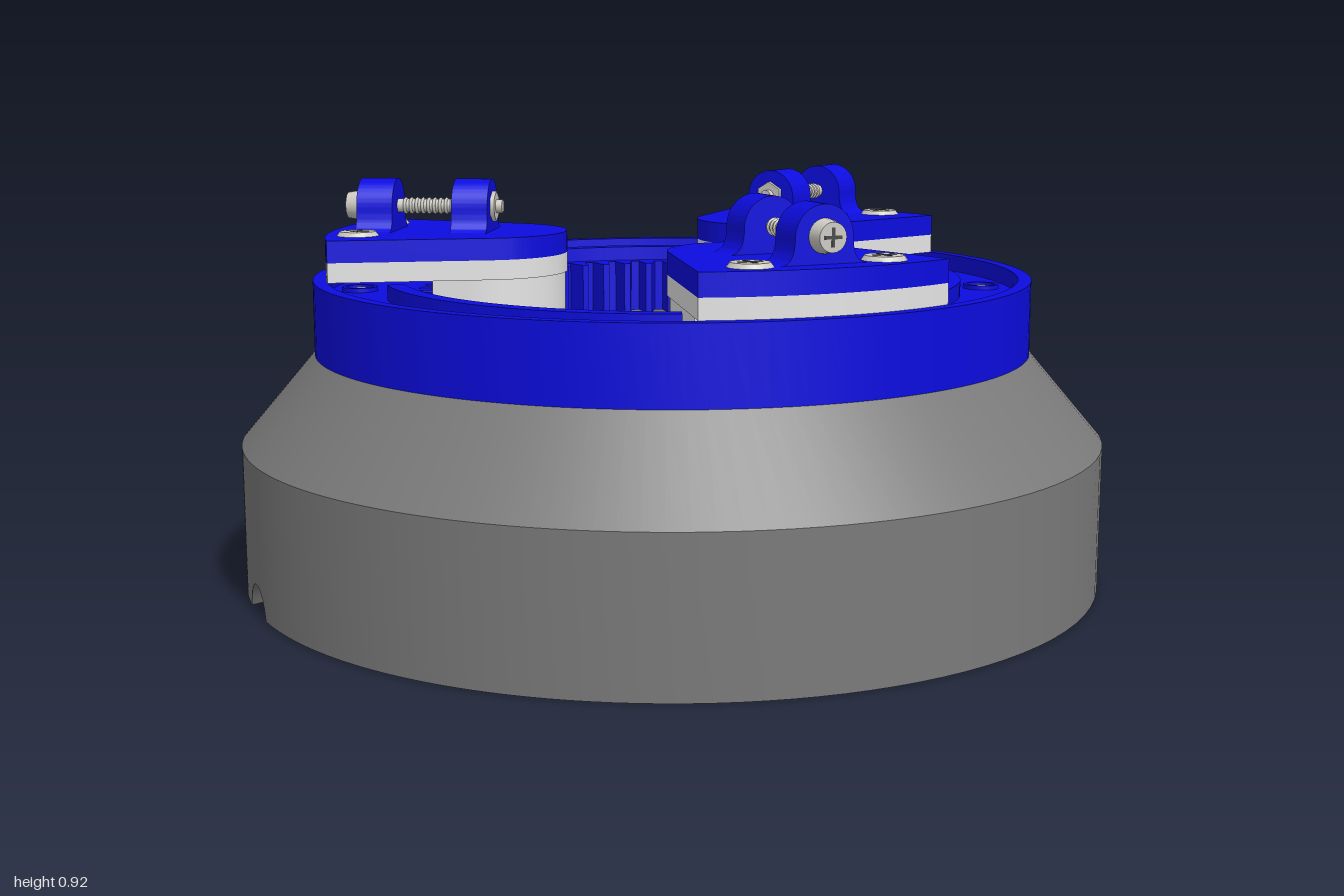
import * as THREE from 'three';
import { toCreasedNormals } from 'three/addons/utils/BufferGeometryUtils.js';

const mat = (name, color) => Object.assign(new THREE.MeshStandardMaterial({ color }), { name });
const M = {
  grey: mat('base grey', 0x7a7a7a),
  blue: mat('deep blue', 0x0c0ce0),
  white: mat('housing white', 0xe4e4e4),
  silver: mat('screw silver', 0xcdcbc3),
  dark: mat('dark recess', 0x4a4a4a),
  red: mat('wire red', 0xc81414),
  black: mat('wire black', 0x181818),
  green: mat('wire green', 0x128a22),
  yellow: mat('wire yellow', 0xb8a818),
  cream: mat('connector cream', 0xe6dcc0),
};

function add(parent, name, geo, material, x = 0, y = 0, z = 0) {
  const m = new THREE.Mesh(geo, material);
  m.name = name;
  m.position.set(x, y, z);
  parent.add(m);
  return m;
}

// closed ring section turned round the y axis; points run counter-clockwise in (radius, y)
function turned(pts, seg = 128, start = 0, length = Math.PI * 2) {
  const v = pts.map(p => new THREE.Vector2(p[0], p[1]));
  v.push(v[0].clone());
  return toCreasedNormals(new THREE.LatheGeometry(v, seg, start, length), 0.4);
}

// plan outline (x, z) extruded downwards from y = 0
function slab(shape, depth, crease = 0.4) {
  const g = new THREE.ExtrudeGeometry(shape, { depth, bevelEnabled: false, curveSegments: 28 });
  return toCreasedNormals(g.rotateX(Math.PI / 2), crease);
}

// heavy chamfered base with a cable notch under its -x side
function baseGeometry() {
  const pts = [[0.66, 0], [0.78, 0], [0.785, 0], [0.9, 0], [1, 0], [1, 0.335], [0.83, 0.535], [0.66, 0.535], [0.66, 0]]
    .map(p => new THREE.Vector2(p[0], p[1]));
  const seg = 160, g = new THREE.LatheGeometry(pts, seg), pos = g.attributes.position;
  for (let i = 0; i < pos.count; i++) {
    const p = pts[i % pts.length], s = Math.floor(i / pts.length) / seg * 2 - 1;
    const a = Math.PI * 1.5 + Math.PI * s * Math.abs(s);   // finer steps near the notch
    const z = p.x * Math.cos(a), r = p.x < 0.782 ? 0.088 : 0.065;
    const inNotch = p.y === 0 && Math.sin(a) < 0 && Math.abs(z) < r;
    pos.setXYZ(i, p.x * Math.sin(a), inNotch ? Math.sqrt(r * r - z * z) : p.y, z);
  }
  return toCreasedNormals(g, 0.4);
}

// internal gear: round outside, toothed hole
function gearShape(teeth = 60, root = 0.597, tip = 0.542) {
  const s = new THREE.Shape().absarc(0, 0, 0.64, 0, Math.PI * 2, false);
  const hole = [], step = Math.PI * 2 / teeth;
  for (let i = 0; i < teeth; i++) {
    for (const [f, r] of [[-0.34, root], [-0.14, tip], [0.14, tip], [0.34, root]]) {
      const a = (i + f) * step;
      hole.push(new THREE.Vector2(r * Math.cos(a), r * Math.sin(a)));
    }
  }
  s.holes.push(new THREE.Path(hole.reverse()));
  return s;
}

// arm outline: round nose towards the centre, flaring to the ring's rim
function armShape() {
  const c = Math.atan2(0.748, 0.285), t = 0.27;
  return new THREE.Shape()
    .absarc(0, 0, 0.8, c, Math.PI - c, false)
    .absarc(0, 0.445, 0.195, Math.PI + t, Math.PI * 2 - t, false);
}

function housingShape() {
  const s = new THREE.Shape();
  s.absarc(0, 0.445, 0.19, Math.PI, Math.PI * 2, false);
  s.lineTo(0.19, 0.53);
  s.lineTo(-0.19, 0.53);
  return s;
}

function lugGeometry() {
  const s = new THREE.Shape();
  s.moveTo(-0.1, 0);
  s.quadraticCurveTo(-0.066, 0, -0.066, 0.055);
  s.absarc(0, 0.055, 0.066, Math.PI, 0, true);
  s.quadraticCurveTo(0.066, 0, 0.1, 0);
  return toCreasedNormals(new THREE.ExtrudeGeometry(s, { depth: 0.085, bevelEnabled: false, curveSegments: 20 }), 0.5);
}

// round cross-slotted screw head facing +y
function screwHead(name, r, h) {
  const g = new THREE.Group();
  g.name = name;
  add(g, 'head', new THREE.CylinderGeometry(r * 0.85, r, h, 24), M.silver, 0, h / 2, 0);
  for (const [w, d] of [[r * 1.1, r * 0.2], [r * 0.2, r * 1.1]])
    add(g, 'crossSlot', new THREE.BoxGeometry(w, 0.002, d), M.dark, 0, h, 0);
  return g;
}

function makeArm() {
  const arm = new THREE.Group();
  add(arm, 'coverPlate', slab(armShape(), 0.05), M.blue, 0, 0.8, 0);
  add(arm, 'armSpacer', slab(armShape(), 0.045), M.white, 0, 0.75, 0);
  add(arm, 'motorHousing', slab(housingShape(), 0.235), M.white, 0, 0.705, 0);
  add(arm, 'motor', new THREE.CylinderGeometry(0.075, 0.075, 0.28, 32), M.white, 0, 0.34, 0.46);
  add(arm, 'motorPin', new THREE.CylinderGeometry(0.028, 0.028, 0.18, 20), M.white, 0.1, 0.38, 0.5);
  add(arm, 'connector', new THREE.BoxGeometry(0.1, 0.08, 0.07), M.cream, 0.02, 0.42, 0.54);

  // clamp lugs and their long bolt
  const lug = lugGeometry();
  for (const z of [0.425, 0.65]) add(arm, 'lug', lug, M.blue, 0, 0.8, z);
  add(arm, 'bolt', new THREE.CylinderGeometry(0.016, 0.016, 0.35, 16).rotateX(Math.PI / 2), M.silver, 0, 0.857, 0.575);
  for (let z = 0.52; z < 0.645; z += 0.014)
    add(arm, 'boltThread', new THREE.TorusGeometry(0.016, 0.004, 6, 16), M.silver, 0, 0.857, z);
  add(arm, 'nut', new THREE.CylinderGeometry(0.036, 0.036, 0.012, 6).rotateX(Math.PI / 2), M.silver, 0, 0.857, 0.421);
  const boltHead = screwHead('boltHead', 0.036, 0.035);
  boltHead.rotation.x = Math.PI / 2;
  boltHead.position.set(0, 0.857, 0.735);
  arm.add(boltHead);

  for (const side of [-1, 1]) {
    const s = screwHead('plateScrew', 0.048, 0.01);
    s.position.set(side * 0.153, 0.8, 0.71);
    arm.add(s);
  }

  // ribbon of wires rising from the motor and dropping through the cable ring
  const colors = [M.red, M.black, M.blue, M.yellow, M.green, M.black];
  colors.forEach((m, i) => {
    const x = (i - 2.5) * 0.0155;
    const path = [[0.19, 0.45], [0.17, 0.38], [0.21, 0.32], [0.34, 0.27], [0.41, 0.2], [0.36, 0.12], [0.2, 0.08], [0.07, 0.07]]
      .map(([y, z]) => new THREE.Vector3(x, y, z));
    add(arm, 'wire', new THREE.TubeGeometry(new THREE.CatmullRomCurve3(path), 40, 0.0085, 8), m);
  });
  return arm;
}

export function createModel() {
  const model = new THREE.Group();
  model.name = 'gripperChuck';
  add(model, 'base', baseGeometry(), M.grey);

  // blue ring: channel with an upstanding outer rim
  add(model, 'ringBody', turned([[0.63, 0.535], [0.83, 0.535], [0.83, 0.705], [0.8, 0.705], [0.8, 0.665], [0.63, 0.665]]), M.blue);
  add(model, 'ringGear', slab(gearShape(), 0.13, 0.2), M.blue, 0, 0.665, 0);

  // inner ridge, broken where the arms cross it
  const gap = 0.4, span = Math.PI * 2 / 3 - gap * 2;
  for (let k = 0; k < 3; k++) {
    const start = k * Math.PI * 2 / 3 + gap;
    add(model, 'innerRidge', turned([[0.63, 0.66], [0.67, 0.66], [0.67, 0.7], [0.63, 0.7]], 32, start, span), M.blue);
    for (const a of [start, start + span])
      add(model, 'ridgeEnd', new THREE.BoxGeometry(0.04, 0.04, 0.006), M.blue, 0.65 * Math.sin(a), 0.68, 0.65 * Math.cos(a))
        .rotation.y = a - Math.PI / 2;
  }

  // eight sunken screws in the channel
  for (let i = 0; i < 8; i++) {
    const a = (i + 0.5) * Math.PI / 4, x = 0.73 * Math.sin(a), z = 0.73 * Math.cos(a);
    add(model, 'screwCollar', turned([[0.032, 0], [0.042, 0], [0.042, 0.012], [0.032, 0.012]], 24), M.blue, x, 0.663, z);
    add(model, 'screwWell', new THREE.CylinderGeometry(0.032, 0.032, 0.006, 24), M.dark, x, 0.665, z);
    add(model, 'ringScrew', new THREE.CylinderGeometry(0.018, 0.018, 0.006, 6), M.silver, x, 0.668, z);
  }

  // central cable ring
  add(model, 'cableRing', turned([[0.14, 0.12], [0.172, 0.12], [0.172, 0.15], [0.14, 0.15]], 64), M.white);

  for (let k = 0; k < 3; k++) {
    const arm = makeArm();
    arm.name = ['frontArm', 'leftArm', 'rightArm'][k];
    arm.rotation.y = k * Math.PI * 2 / 3;
    model.add(arm);
  }
  return model;
}
